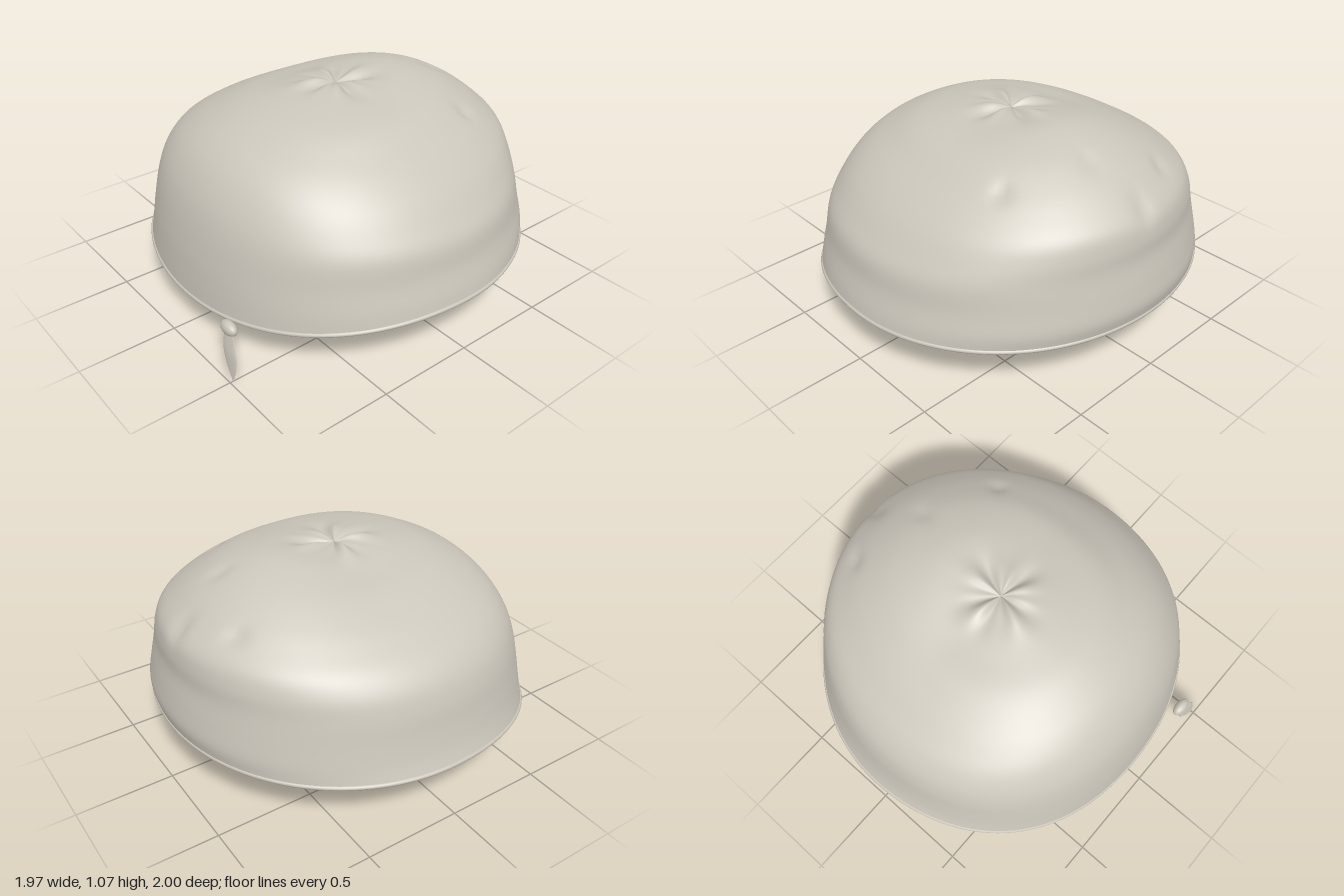
import * as THREE from 'three';

// Closed-ring loft: point(t, angle) gives a surface point, t from bottom to top
function loft(rows, segs, point) {
  const pos = [], idx = [];
  for (let i = 0; i <= rows; i++) {
    for (let j = 0; j < segs; j++) pos.push(...point(i / rows, (j / segs) * Math.PI * 2));
  }
  for (let i = 0; i < rows; i++) {
    for (let j = 0; j < segs; j++) {
      const k = (j + 1) % segs;
      const a = i * segs + j, b = a + segs, c = i * segs + k, d = c + segs;
      idx.push(a, b, c, c, b, d);
    }
  }
  const geo = new THREE.BufferGeometry();
  geo.setAttribute('position', new THREE.Float32BufferAttribute(pos, 3));
  geo.setIndex(idx);
  geo.computeVertexNormals();
  return geo;
}

const curve = (pts) =>
  new THREE.CatmullRomCurve3(pts.map(([r, y]) => new THREE.Vector3(r, y, 0)), false, 'catmullrom', 0.5);

// Hem-to-crown profiles [radius, height] at the left, front, right and back
const profiles = [
  [[0.945, 0.3], [0.96, 0.38], [0.945, 0.48], [0.92, 0.6], [0.915, 0.7], [0.89, 0.79], [0.81, 0.87],
    [0.7, 0.95], [0.55, 1.025], [0.36, 1.07], [0.2, 1.06], [0.09, 1.045], [0, 1.035]],
  [[0.995, 0.285], [0.98, 0.35], [0.95, 0.45], [0.925, 0.57], [0.865, 0.66], [0.79, 0.75], [0.7, 0.83],
    [0.6, 0.9], [0.47, 0.98], [0.32, 1.02], [0.18, 1.04], [0.08, 1.05], [0, 1.035]],
  [[0.94, 0.19], [0.93, 0.3], [0.915, 0.42], [0.885, 0.57], [0.845, 0.69], [0.78, 0.8], [0.7, 0.88],
    [0.6, 0.94], [0.47, 0.995], [0.31, 1.03], [0.18, 1.05], [0.08, 1.055], [0, 1.035]],
  [[0.99, 0.3], [0.96, 0.38], [0.935, 0.48], [0.91, 0.6], [0.87, 0.7], [0.8, 0.78], [0.7, 0.845],
    [0.6, 0.9], [0.45, 0.965], [0.31, 1.0], [0.18, 1.035], [0.08, 1.05], [0, 1.035]],
].map(curve);

// Small puckers in the cloth: [angle, t, angular size, t size, depth]
const puckers = [
  [0.0, 0.45, 0.05, 0.06, 0.015], [0.83, 0.58, 0.06, 0.03, 0.012],
  [0.15, 0.64, 0.07, 0.03, 0.01], [-0.38, 0.52, 0.06, 0.03, 0.012],
];

function capPoint(t, angle) {
  const q = angle / (Math.PI / 2), i = Math.floor(q) % 4, f = q - Math.floor(q);
  const s = f * f * (3 - 2 * f);
  const p = profiles[i].getPoint(t).lerp(profiles[(i + 1) % 4].getPoint(t), s);
  // the right side is a little squarer than the left
  const diagonal = Math.sin(2 * angle) ** 2 * (Math.cos(angle) < 0 ? 0.03 : 0.005);
  let r = p.x * (1 + diagonal), y = p.y;
  // gathered pleats around the crown
  const gather = Math.exp(-(((r - 0.12) / 0.09) ** 2));
  y += 0.012 * gather * (Math.cos(5 * angle + 0.8) + 0.5 * Math.cos(9 * angle));
  for (const [a, pt, wa, wt, depth] of puckers) {
    const da = Math.atan2(Math.sin(angle - a), Math.cos(angle - a));
    const g = depth * Math.exp(-((da / wa) ** 2) - ((t - pt) / wt) ** 2);
    r -= g;
    y -= g;
  }
  return [0.02 + r * Math.cos(angle), y, r * Math.sin(angle)];
}

export function createModel() {
  const group = new THREE.Group();
  const cloth = new THREE.MeshStandardMaterial({ color: 0xcbc6bb, side: THREE.DoubleSide });
  cloth.name = 'pale grey cloth';

  const add = (name, geo) => {
    const mesh = new THREE.Mesh(geo, cloth);
    mesh.name = name;
    group.add(mesh);
    return mesh;
  };

  // Soft cap body, open underneath
  add('capBody', loft(60, 144, capPoint));

  // Rolled hem following the lower edge
  const hem = [];
  for (let j = 0; j < 72; j++) {
    const [x, y, z] = capPoint(0, (j / 72) * Math.PI * 2);
    hem.push(new THREE.Vector3(0.02 + (x - 0.02) * 0.995, y, z * 0.995));
  }
  add('hem', new THREE.TubeGeometry(new THREE.CatmullRomCurve3(hem, true), 144, 0.012, 8, true));

  // Knot of the tie on the right side
  const knot = add('tieKnot', new THREE.SphereGeometry(1, 20, 14));
  knot.scale.set(0.03, 0.035, 0.055);
  knot.position.set(-0.93, 0.22, 0.405);

  // Flat leaf-shaped tail hanging from the knot
  const spine = new THREE.CatmullRomCurve3([
    new THREE.Vector3(-0.985, 0, 0.502),
    new THREE.Vector3(-0.972, 0.06, 0.475),
    new THREE.Vector3(-0.96, 0.115, 0.45),
    new THREE.Vector3(-0.945, 0.165, 0.425),
    new THREE.Vector3(-0.932, 0.21, 0.41),
  ]);
  const width = curve([[0.002, 0], [0.038, 0], [0.054, 0], [0.045, 0], [0.03, 0]]);
  add('tieTail', loft(16, 16, (t, a) => {
    const c = spine.getPoint(t), w = width.getPoint(t).x;
    return [c.x + 0.1 * w * Math.cos(a), c.y, c.z + w * Math.sin(a)];
  }));

  return group;
}
